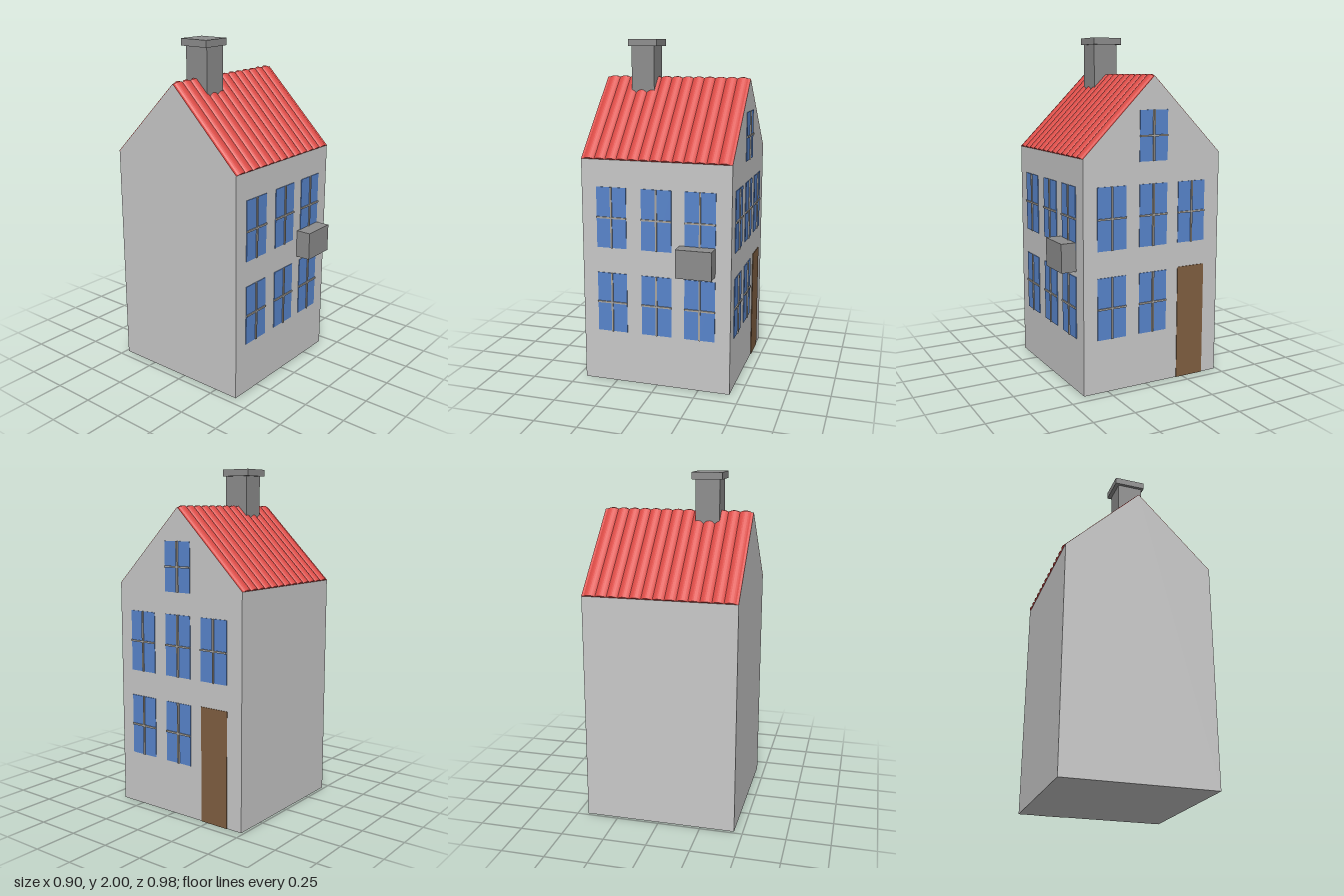
import * as THREE from 'three';

const mat = (name, color) => new THREE.MeshStandardMaterial({ name, color });

export function createModel() {
  const house = new THREE.Group();
  house.name = 'house';
  const wall = mat('wall grey', 0xc9c9c9);
  const red = mat('roof red', 0xdb4b46);
  const stone = mat('stone grey', 0x8d8d8d);
  const blue = mat('glass blue', 0x5885cc);
  const brown = mat('door brown', 0x805f41);
  const barGrey = mat('window bar grey', 0xaaa6a0);

  const X0 = -0.45, X1 = 0.437, FRONT = 0.4, BACK = -0.485;
  const RIDGE_Z = -0.042, RIDGE_Y = 1.775, EAVE_Y = 1.335;

  // box given by its minimum and maximum on each axis
  function box(name, material, x0, x1, y0, y1, z0, z1, parent = house) {
    const m = new THREE.Mesh(new THREE.BoxGeometry(x1 - x0, y1 - y0, z1 - z0), material);
    m.position.set((x0 + x1) / 2, (y0 + y1) / 2, (z0 + z1) / 2);
    m.name = name;
    parent.add(m);
    return m;
  }

  // walls: gable outline extruded along x (shape x becomes -z)
  const gable = new THREE.Shape([
    [-FRONT, 0], [-BACK, 0], [-BACK, EAVE_Y], [-RIDGE_Z, RIDGE_Y - 0.002], [-FRONT, EAVE_Y],
  ].map(([a, b]) => new THREE.Vector2(a, b)));
  const walls = new THREE.Mesh(
    new THREE.ExtrudeGeometry(gable, { depth: X1 - X0, bevelEnabled: false }).rotateY(Math.PI / 2), wall);
  walls.position.x = X0;
  walls.name = 'walls';
  house.add(walls);

  // roof profile: flat end strips with thirteen shallow round tiles between them
  const TILES = 13, STEPS = 8, BULGE = 0.012, START = -0.437, PITCH = 0.0662;
  const profile = new THREE.Shape();
  profile.moveTo(X0, -0.002);
  profile.lineTo(X1, -0.002);
  profile.lineTo(X1, 0.001);
  for (let i = TILES - 1; i >= 0; i--) {
    for (let k = STEPS; k >= 0; k--) {
      const t = k / STEPS;
      profile.lineTo(START + (i + t) * PITCH, 0.001 + BULGE * 4 * t * (1 - t));
    }
  }
  profile.lineTo(X0, 0.001);

  // each slope runs from the ridge down to its eave
  function slope(name, eaveZ) {
    const down = new THREE.Vector3(0, EAVE_Y - RIDGE_Y, eaveZ - RIDGE_Z);
    const length = down.length();
    down.normalize();
    const side = Math.sign(down.z);
    const up = new THREE.Vector3(0, Math.abs(down.z), -down.y * side);
    // the profile is mirrored on the back so the frame stays right-handed
    const across = new THREE.Vector3().crossVectors(up, down);
    let shape = profile;
    if (across.x < 0) {
      shape = new THREE.Shape(profile.getPoints().map(p => new THREE.Vector2(-p.x, p.y)).reverse());
    }
    const m = new THREE.Mesh(
      new THREE.ExtrudeGeometry(shape, { depth: length, bevelEnabled: false }), red);
    m.geometry.applyMatrix4(new THREE.Matrix4().makeBasis(across, up, down));
    m.position.set(0, RIDGE_Y, RIDGE_Z);
    m.name = name;
    house.add(m);
  }
  slope('frontRoof', FRONT);
  slope('backRoof', BACK);

  // chimney with its cap
  box('chimneyShaft', stone, -0.265, -0.125, 1.62, 1.965, -0.107, 0.045);
  box('chimneyCap', stone, -0.282, -0.106, 1.96, 2, -0.13, 0.056);

  // window facing +z around its own origin: two panes and crossed bars
  function windowUnit(name, height, gap) {
    const g = new THREE.Group();
    g.name = name;
    const w = 0.09, h = height / 2;
    box('leftPane', blue, -w, -gap / 2, -h, h, -0.002, 0.004, g);
    box('rightPane', blue, gap / 2, w, -h, h, -0.002, 0.004, g);
    box('uprightBar', barGrey, -0.005, 0.005, -h, h, -0.002, 0.011, g);
    box('crossBar', barGrey, -w, w, -0.005, 0.005, -0.002, 0.011, g);
    house.add(g);
    return g;
  }
  const ROWS = [0.49, 0.999], TALL = 0.357;

  // front windows, three on each floor
  for (const y of ROWS) {
    for (const x of [-0.27, 0, 0.257]) windowUnit('frontWindow', TALL, 0).position.set(x, y, FRONT);
  }

  // gable side windows, with the attic one under the ridge
  function sideWindow(name, z, y, height, gap) {
    const g = windowUnit(name, height, gap);
    g.rotation.y = Math.PI / 2;
    g.position.set(X1, y, z);
  }
  for (const y of ROWS) {
    sideWindow('sideWindow', 0.225, y, TALL, 0);
    sideWindow('middleSideWindow', -0.04, y, TALL, 0.018);
  }
  sideWindow('sideWindow', -0.295, ROWS[1], TALL, 0);
  sideWindow('atticWindow', -0.04, 1.447, 0.285, 0.018);

  // door
  box('door', brown, X1 - 0.002, X1 + 0.004, 0, 0.675, -0.388, -0.208);

  // balcony block on the front wall
  box('balcony', stone, 0.137, 0.346, 0.7, 0.865, FRONT - 0.01, 0.49);

  return house;
}
